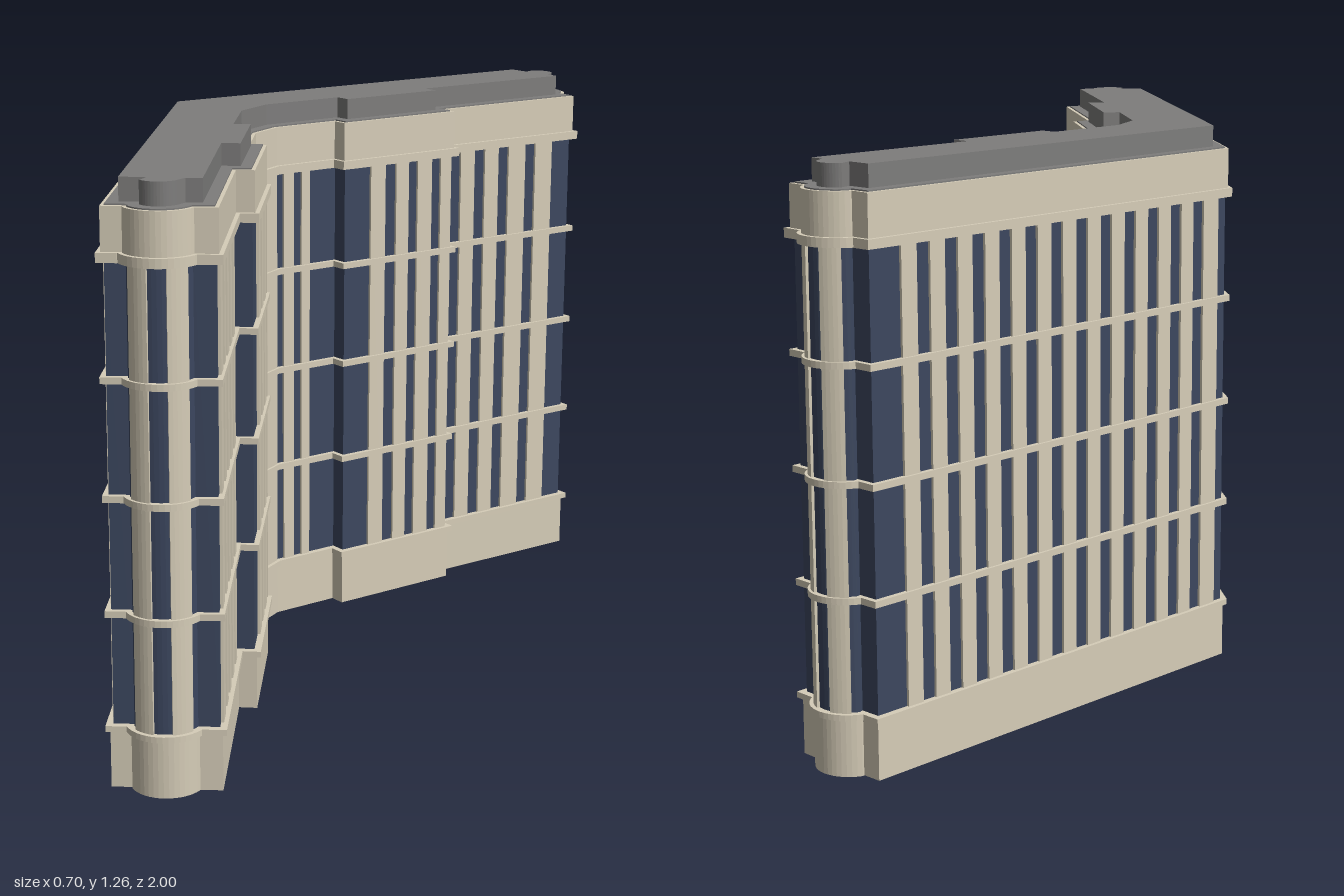
import * as THREE from 'three';
import { mergeGeometries } from 'three/addons/utils/BufferGeometryUtils.js';

const paint = (name, color) => {
  const m = new THREE.MeshStandardMaterial({ color });
  m.name = name;
  return m;
};

// Plan points are [x, y] with y = -z, running counter-clockwise.
const ARC = { x: 0.221, z: 0.914, r: 0.077, mid: 64.5, half: 65 };
const arcPoints = (from, to, n, r = ARC.r) =>
  Array.from({ length: n + 1 }, (_, i) => {
    const a = THREE.MathUtils.degToRad(from + ((to - from) * i) / n);
    return [ARC.x + r * Math.cos(a), ARC.z + r * Math.sin(a)];
  });

// One wing as [x, z], from the outer apex round the bowed end to the inner bend
const BACK = [[-0.34, 0], [0.13, 0.987]];
const INNER = [
  [[0.34, 0.892], [0.153, 0.508]],
  [[0.19, 0.492], [0.045, 0.187]],
  [[0.01, 0.203], [-0.062, 0.05]],
];
const wing = [
  ...BACK, [0.171, 0.968],
  ...arcPoints(ARC.mid + ARC.half, ARC.mid - ARC.half, 16),
  ...INNER.flat(),
];
// fix the foot of the bow: short return to the inner corner
const outline = [
  ...wing.map(([x, z]) => [x, -z]),
  ...wing.slice(1).reverse().map(([x, z]) => [x, z]),
];

// Mitred offset of the plan; positive grows outward
function offset(points, d) {
  const n = points.length;
  const normal = (a, b) => {
    const dx = b[0] - a[0], dy = b[1] - a[1], l = Math.hypot(dx, dy);
    return [dy / l, -dx / l];
  };
  return points.map((p, i) => {
    const n1 = normal(points[(i + n - 1) % n], p);
    const n2 = normal(p, points[(i + 1) % n]);
    const k = d / (1 + n1[0] * n2[0] + n1[1] * n2[1]);
    return [p[0] + (n1[0] + n2[0]) * k, p[1] + (n1[1] + n2[1]) * k];
  });
}

// Upright prism over a plan polygon
function prism(points, y0, y1) {
  const shape = new THREE.Shape(points.map(([x, y]) => new THREE.Vector2(x, y)));
  const g = new THREE.ExtrudeGeometry(shape, { depth: y1 - y0, bevelEnabled: false });
  return g.rotateX(-Math.PI / 2).translate(0, y0, 0);
}

const GLASS_Y = [0.12, 1.11];
const RECESS = 0.006;

// Thin wall pier on the edge a-b ([x, z]) between fractions t0 and t1
function pier(a, b, t0, t1, side) {
  const dx = b[0] - a[0], dz = b[1] - a[1], l = Math.hypot(dx, dz);
  const nx = (dz / l) * -1, nz = dx / l; // outward for the +z wing
  const at = (t, d) => [a[0] + dx * t + nx * d, -side * (a[1] + dz * t + nz * d)];
  return prism([at(t0, 0), at(t1, 0), at(t1, -0.012), at(t0, -0.012)], ...GLASS_Y);
}

// Piers fill an edge wherever no glass interval (given in |z|) lies
function piers([a, b], glass, side) {
  const lo = Math.min(a[1], b[1]), hi = Math.max(a[1], b[1]);
  const t = (z) => (z - a[1]) / (b[1] - a[1]);
  const out = [];
  let z = lo;
  for (const [g0, g1] of [...glass, [hi, hi]]) {
    const end = Math.min(g0, hi);
    if (end - z > 0.003) out.push(pier(a, b, t(z), t(end), side));
    z = Math.max(z, g1);
  }
  return out;
}

// Window layouts, as intervals of |z|
const strips = (centres) => centres.map((t) => [(t - 0.0165) * 0.987, (t + 0.0165) * 0.987]);
const LAYOUT = {
  front: {
    side: 1,
    back: [[0, 0.034], ...strips([0.087, 0.156, 0.225, 0.295, 0.4, 0.47, 0.545, 0.615, 0.69, 0.76, 0.835, 0.91]), [0.953, 1]],
    inner: [[0.05, 0.08], [0.126, 0.15], [0.19, 0.217], [0.26, 0.287], [0.33, 0.36], [0.405, 0.55],
      [0.585, 0.62], [0.655, 0.69], [0.725, 0.76], [0.79, 0.825], [0.866, 0.9]],
  },
  rear: {
    side: -1,
    back: [[0, 0.03], ...strips(Array.from({ length: 12 }, (_, i) => 0.094 + 0.0703 * i)), [0.91, 1]],
    inner: [[0.05, 0.068], [0.095, 0.115], [0.137, 0.26], [0.3, 0.33], [0.365, 0.39], [0.43, 0.455],
      [0.485, 0.56], [0.6, 0.63], [0.67, 0.7], [0.75, 0.78], [0.83, 0.9]],
  },
};

export function createModel() {
  const stone = paint('cream stone', 0xd6cdb8);
  const glass = paint('dark blue glass', 0x3c475f);
  const roofing = paint('grey roofing', 0x7e7d7c);

  const model = new THREE.Group();
  model.name = 'angledTower';
  const add = (name, geometry, material) => {
    const mesh = new THREE.Mesh(geometry, material);
    mesh.name = name;
    model.add(mesh);
  };

  // Main stacked volumes
  add('base', prism(outline, 0, 0.127), stone);
  add('windowWall', prism(offset(outline, -RECESS), 0.12, 1.11), glass);
  add('parapet', prism(outline, 1.105, 1.207), stone);
  add('roofDeck', prism(offset(outline, -0.008), 1.2, 1.21), roofing);
  add('penthouse', prism(offset(outline, -0.033), 1.205, 1.258), roofing);

  // Ledges and slim floor bands
  add('lowerLedge', prism(offset(outline, 0.009), 0.124, 0.137), stone);
  add('upperLedge', prism(offset(outline, 0.009), 1.097, 1.117), stone);
  [0.37, 0.612, 0.855].forEach((y, i) =>
    add(`floorBand${i + 1}`, prism(offset(outline, 0.006), y, y + 0.014), stone));

  // Wall piers and the two curved columns on each bowed end
  for (const [name, { side, back, inner }] of Object.entries(LAYOUT)) {
    add(`${name}BackPiers`, mergeGeometries(piers(BACK, back, side)), stone);
    add(`${name}InnerPiers`, mergeGeometries(INNER.flatMap((e) => piers(e, inner, side))), stone);
    const columns = [[15, 50], [-50, -15]].map(([a, b]) => {
      const ring = [
        ...arcPoints(ARC.mid + a, ARC.mid + b, 5),
        ...arcPoints(ARC.mid + b, ARC.mid + a, 5, ARC.r - 0.014),
      ];
      return prism(ring.map(([x, z]) => [x, -side * z]), ...GLASS_Y);
    });
    add(`${name}EndColumns`, mergeGeometries(columns), stone);
  }

  // Flat pier across the inner bend
  add('bendPier', prism([[-0.075, -0.05], [-0.062, -0.05], [-0.062, 0.05], [-0.075, 0.05]], ...GLASS_Y), stone);
  return model;
}
